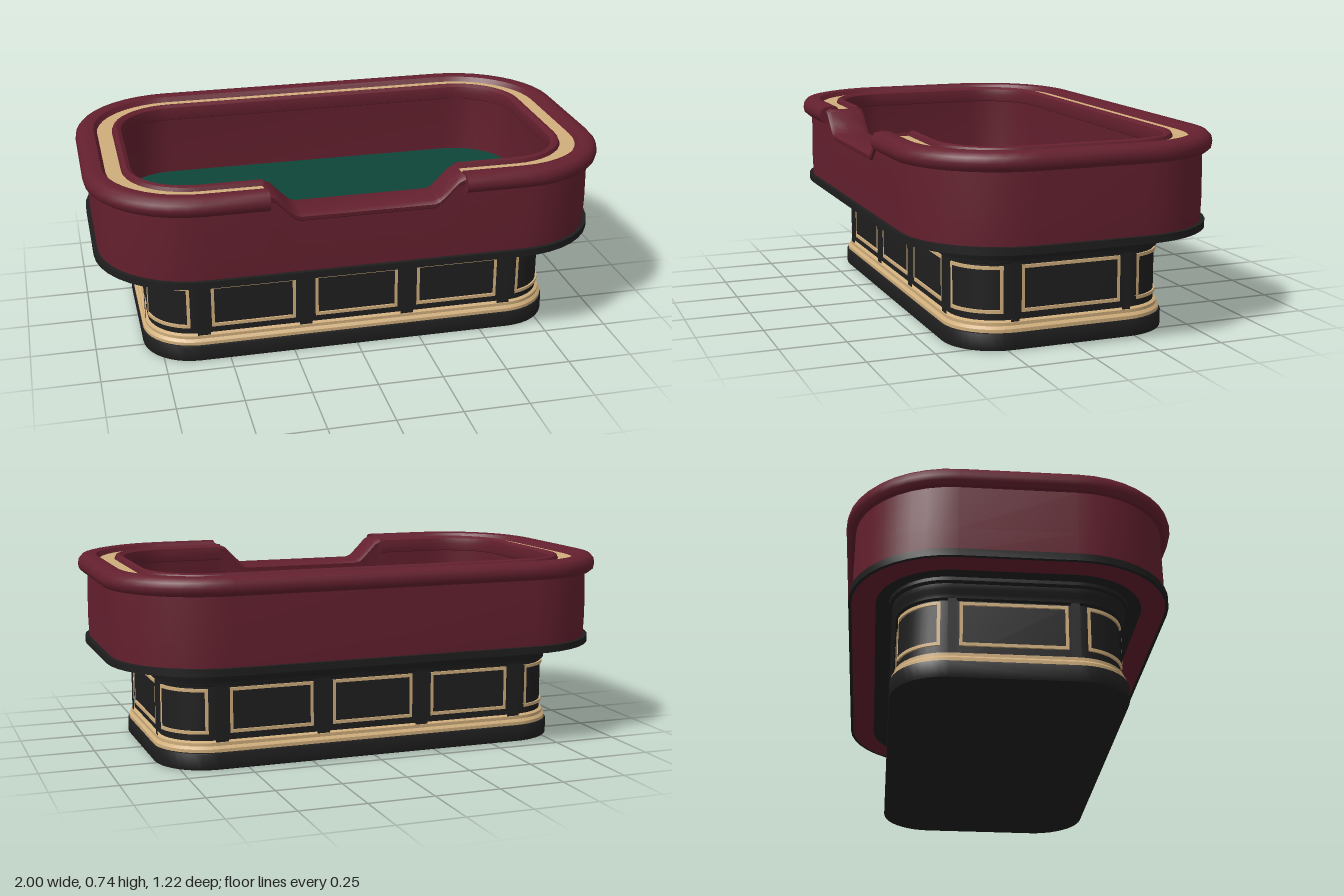
import * as THREE from 'three';
import { toCreasedNormals } from 'three/addons/utils/BufferGeometryUtils.js';

const mat = (name, color) => {
  const m = new THREE.MeshStandardMaterial({ color });
  m.name = name;
  return m;
};

// Rounded-rectangle path from front x = fx round the back to x = -fx.
// Each point carries its outward normal.
function roundedPath(hx, hz, r, fx, closing = [fx]) {
  const pts = [{ x: fx, z: hz, nx: 0, nz: 1 }];
  const signs = [[1, 1], [1, -1], [-1, -1], [-1, 1]];
  signs.forEach(([sx, sz], k) => {
    for (let i = 0; i <= 10; i++) {
      const a = (k + i / 10) * Math.PI / 2;
      const nx = Math.sin(a), nz = Math.cos(a);
      pts.push({ x: sx * (hx - r) + r * nx, z: sz * (hz - r) + r * nz, nx, nz });
    }
  });
  pts.push({ x: -fx, z: hz, nx: 0, nz: 1 });
  closing.forEach(x => pts.push({ x, z: hz, nx: 0, nz: 1 }));
  return pts;
}

// Sweep a profile of [outward offset, height] pairs along a path
function loft(profile, path) {
  const pos = [], idx = [];
  let n = 0;
  for (const p of path) {
    const prof = typeof profile === 'function' ? profile(p) : profile;
    n = prof.length;
    for (const [d, y] of prof) pos.push(p.x + p.nx * d, y, p.z + p.nz * d);
  }
  for (let i = 0; i < path.length - 1; i++) {
    for (let j = 0; j < n - 1; j++) {
      const a = i * n + j, b = a + n;
      idx.push(a, b, b + 1, a, b + 1, a + 1);
    }
  }
  const g = new THREE.BufferGeometry();
  g.setAttribute('position', new THREE.Float32BufferAttribute(pos, 3));
  g.setIndex(idx);
  return toCreasedNormals(g, 0.7);
}

// Solid rounded-rectangle slab between two heights
function slab(hx, hz, r, y0, y1, bevel = 0) {
  const outline = roundedPath(hx - bevel, hz - bevel, r - bevel, 0, []).slice(0, -1);
  const shape = new THREE.Shape(outline.map(p => new THREE.Vector2(p.x, -p.z)));
  const g = new THREE.ExtrudeGeometry(shape, {
    depth: y1 - y0 - 2 * bevel, bevelEnabled: bevel > 0,
    bevelSize: bevel, bevelThickness: bevel, bevelSegments: 2,
  });
  g.rotateX(-Math.PI / 2).translate(0, y0 + bevel, 0);
  return toCreasedNormals(g, 0.6);
}

export function createModel() {
  const maroon = mat('maroon leather', 0x64202e);
  const black = mat('black wood', 0x1f1f1f);
  const gold = mat('pale gold', 0xd0ae7c);
  const felt = mat('green felt', 0x0e4538);
  const model = new THREE.Group();
  const add = (name, geometry, material, parent = model) => {
    const m = new THREE.Mesh(geometry, material);
    m.name = name;
    parent.add(m);
    return m;
  };

  // Pedestal: plinth, gold skirting, body and crown moulding
  add('plinth', slab(0.815, 0.43, 0.2, 0, 0.066, 0.006), black);
  const HX = 0.79, HZ = 0.403, R = 0.18;
  const pedestal = roundedPath(HX, HZ, R, 0);
  add('skirting', loft([[0, 0.064], [0.022, 0.064], [0.022, 0.078], [0.012, 0.088],
    [0.012, 0.1], [0, 0.106]], pedestal), gold);
  add('pedestalBody', loft([[0, 0.06], [0, 0.32]], pedestal), black);
  add('crownMoulding', loft([[0, 0.31], [0.012, 0.315], [0.014, 0.33], [0.024, 0.345],
    [0.026, 0.365], [0.038, 0.372], [0.038, 0.388]], pedestal), black);

  // Pedestal panels and pillars: strips that follow the surface
  const straight = (phi, dist, t) => {
    const nx = Math.sin(phi), nz = Math.cos(phi);
    return { x: nx * dist + nz * t, z: nz * dist - nx * t, nx, nz };
  };
  const corner = (sx, sz, phi) => {
    const nx = Math.sin(phi), nz = Math.cos(phi);
    return { x: sx * (HX - R) + R * nx, z: sz * (HZ - R) + R * nz, nx, nz };
  };
  const strip = (at, t0, t1, y0, y1, depth, steps) => {
    const pts = [];
    for (let i = 0; i <= steps; i++) pts.push(at(t0 + (t1 - t0) * i / steps));
    return loft([[0, y0], [depth, y0], [depth, y1], [0, y1]], pts);
  };
  const frame = (at, t0, t1, w, steps) => {
    const g = new THREE.Group();
    g.name = 'panelFrame';
    const y0 = 0.132, y1 = 0.303, h = 0.012, d = 0.007;
    add('frameBottom', strip(at, t0, t1, y0, y0 + h, d, steps), gold, g);
    add('frameTop', strip(at, t0, t1, y1 - h, y1, d, steps), gold, g);
    add('frameStileA', strip(at, t0, t0 + w, y0, y1, d, 1), gold, g);
    add('frameStileB', strip(at, t1 - w, t1, y0, y1, d, 1), gold, g);
    model.add(g);
  };
  const pillar = (at, t, w) => add('pillar', strip(at, t - w, t + w, 0.1, 0.315, 0.01, 1), black);

  for (const phi of [0, Math.PI]) {
    const at = t => straight(phi, HZ, t);
    for (const c of [-0.403, 0, 0.403]) frame(at, c - 0.163, c + 0.163, 0.012, 1);
    for (const t of [-0.597, -0.2015, 0.2015, 0.597]) pillar(at, t, 0.025);
  }
  for (const phi of [Math.PI / 2, -Math.PI / 2]) {
    const at = t => straight(phi, HX, t);
    frame(at, -0.193, 0.193, 0.012, 1);
    for (const t of [-0.218, 0.218]) pillar(at, t, 0.016);
  }
  [[1, 1], [1, -1], [-1, -1], [-1, 1]].forEach(([sx, sz], k) => {
    const start = k * Math.PI / 2;
    frame(t => corner(sx, sz, start + t), 0.2, Math.PI / 2 - 0.2, 0.067, 8);
  });

  // Tabletop ledge with a maroon underside band
  add('ledge', slab(0.98, 0.59, 0.38, 0.385, 0.412), black);
  add('ledgeUnderside', loft([[-0.1, 0.384], [-0.012, 0.384]],
    roundedPath(0.98, 0.59, 0.38, 0)), maroon);

  // Playing surface
  add('feltSurface', slab(0.825, 0.435, 0.225, 0.412, 0.44), felt);

  // Tub wall, its top dipping at the dealer's opening in front
  const BX = 0.9, BZ = 0.51, BR = 0.3, END = 0.365;
  const wallPath = roundedPath(BX, BZ, BR, END + 0.01,
    [-END, -0.34, -0.3, -0.27, -0.25, 0, 0.25, 0.27, 0.3, 0.34, END, END + 0.01]);
  const wallProfile = p => {
    const ax = Math.abs(p.x);
    let top = 0.7;
    if (p.z > 0.5 && ax <= END) {
      top = 0.642 + 0.088 * THREE.MathUtils.smoothstep(ax, 0.25, END);
    }
    return [[0.064, 0.41], [0.067, 0.5], [0.064, top - 0.03], [0.072, top - 0.024], [0.074, top - 0.01],
      [0.06, top], [0, top - 0.004], [-0.06, top], [-0.078, top - 0.012], [-0.076, top - 0.03], [-0.078, 0.43]];
  };
  add('tubWall', loft(wallProfile, wallPath), maroon);

  // Padded rail with a gold channel, open at the dealer's place
  const railPath = roundedPath(BX, BZ, BR, END, []);
  const outerRoll = [[0.06, 0.672], [0.082, 0.67], [0.096, 0.682], [0.1, 0.7], [0.096, 0.72],
    [0.082, 0.735], [0.055, 0.74], [0.028, 0.736], [0.014, 0.718]];
  const innerRoll = [[-0.044, 0.716], [-0.05, 0.73], [-0.064, 0.734], [-0.08, 0.724],
    [-0.085, 0.7], [-0.08, 0.672], [-0.07, 0.665]];
  add('armRail', loft(outerRoll, railPath), maroon);
  add('railChannel', loft([[0.014, 0.718], [-0.044, 0.716]], railPath), gold);
  add('innerRail', loft(innerRoll, railPath), maroon);

  // Rail ends
  const section = new THREE.Shape([...outerRoll, ...innerRoll].map(([d, y]) => new THREE.Vector2(d, y)));
  for (const s of [1, -1]) {
    const g = new THREE.ShapeGeometry(section);
    g.rotateY(-Math.PI / 2).translate(END, 0, BZ);
    add('railEnd', g, maroon).scale.x = s;
  }
  return model;
}
